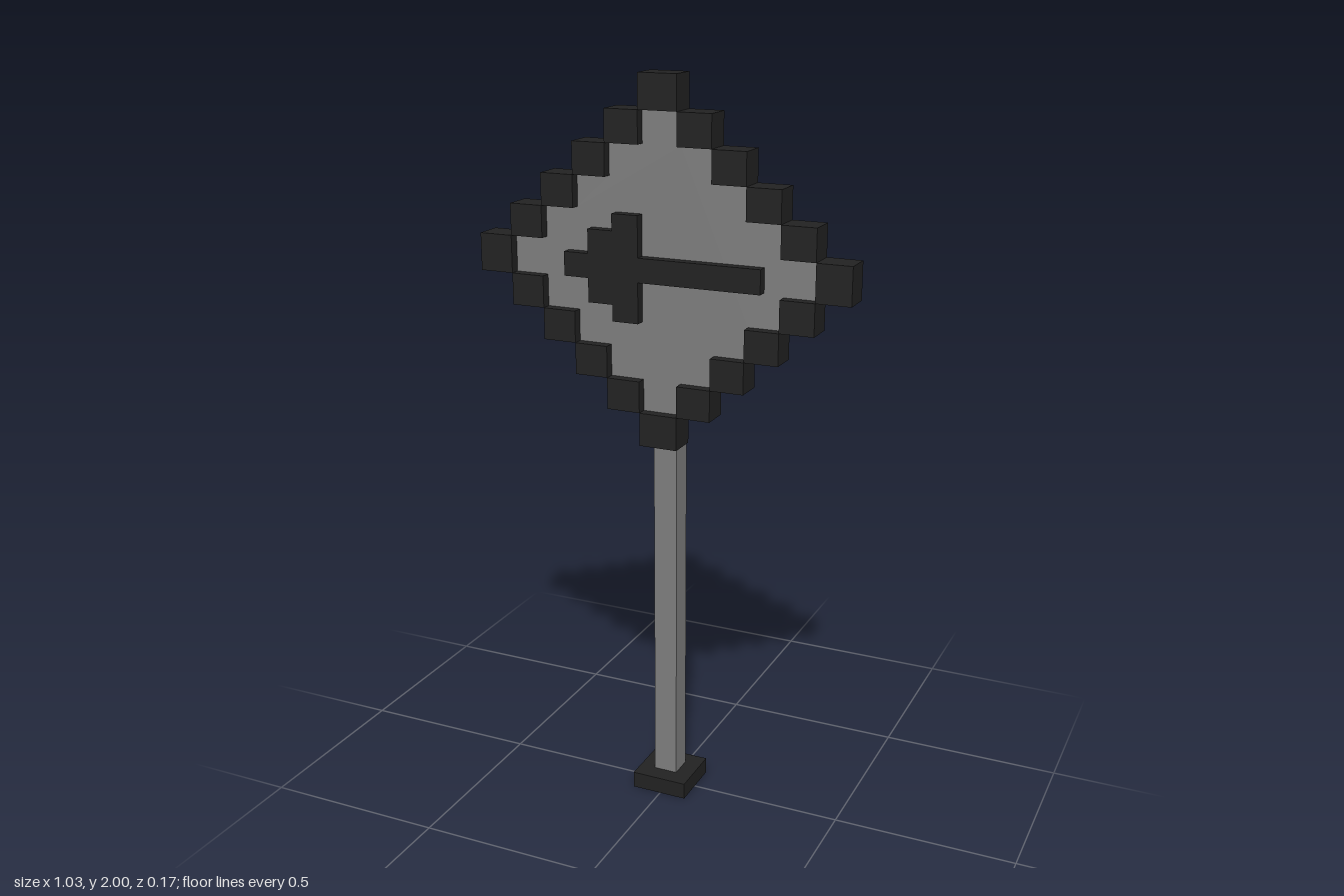
import * as THREE from 'three';

export function createModel() {
  const model = new THREE.Group();
  const grey = new THREE.MeshStandardMaterial({ color: 0x7e7e7e });
  grey.name = 'grey metal';
  const black = new THREE.MeshStandardMaterial({ color: 0x222222 });
  black.name = 'black paint';

  const add = (name, geometry, material, parent = model) => {
    const mesh = new THREE.Mesh(geometry, material);
    mesh.name = name;
    parent.add(mesh);
    return mesh;
  };
  // Box given by its lower and upper corners
  const box = (name, a, b, material, parent) => {
    const size = b.map((v, i) => v - a[i]);
    const mesh = add(name, new THREE.BoxGeometry(...size), material, parent);
    mesh.position.set(...a.map((v, i) => (v + b[i]) / 2));
  };
  const shapeOf = (points) => new THREE.Shape(points.map(([x, y]) => new THREE.Vector2(x, y)));
  const slab = (shape, z0, z1) =>
    new THREE.ExtrudeGeometry(shape, { depth: z1 - z0, bevelEnabled: false }).translate(0, 0, z0);

  // Square foot, hollow around the post
  const foot = shapeOf([[-0.083, -0.074], [0.075, -0.074], [0.075, 0.083], [-0.083, 0.083]]);
  foot.holes.push(shapeOf([[-0.038, -0.025], [-0.038, 0.04], [0.028, 0.04], [0.028, -0.025]]));
  add('foot', slab(foot, 0, 0.046).rotateX(-Math.PI / 2), black);
  box('post', [-0.038, 0.015, -0.04], [0.028, 1.535, 0.025], grey);

  // Step edges of the diamond, measured from its centre
  const X = [0.053, 0.146, 0.238, 0.33, 0.422, 0.515];
  const Y = [0.05, 0.135, 0.22, 0.305, 0.39, 0.48];
  const sign = new THREE.Group();
  sign.name = 'sign';
  sign.position.y = 1.52;
  model.add(sign);

  // Stepped panel outline, one quarter mirrored to four
  const quarter = [];
  for (let i = 0; i < 5; i++) {
    quarter.push([X[4 - i], Y[i]]);
    if (i < 4) quarter.push([X[3 - i], Y[i]]);
  }
  const half = [...quarter, ...quarter.map(([x, y]) => [-x, y]).reverse()];
  const outline = [...half, ...half.map(([x, y]) => [-x, -y])];
  add('panel', slab(shapeOf(outline), 0.027, 0.055), grey, sign);

  // Border of blocks along the four stepped edges
  const border = new THREE.Group();
  border.name = 'border';
  sign.add(border);
  for (let i = 0; i < 6; i++) {
    const j = 5 - i;
    for (const sx of j ? [-1, 1] : [1]) {
      for (const sy of i ? [-1, 1] : [1]) {
        const xs = j ? [sx * X[j - 1], sx * X[j]] : [-X[0], X[0]];
        const ys = i ? [sy * Y[i - 1], sy * Y[i]] : [-Y[0], Y[0]];
        box('borderBlock', [Math.min(...xs), Math.min(...ys), 0.005],
          [Math.max(...xs), Math.max(...ys), 0.083], black, border);
      }
    }
  }

  // Raised arrow: upper outline mirrored below its axis
  const upper = [[0.279, 0.032], [-0.055, 0.032], [-0.055, 0.14], [-0.128, 0.14],
    [-0.128, 0.096], [-0.197, 0.096], [-0.197, 0.032], [-0.266, 0.032]];
  const arrow = shapeOf([...upper, ...upper.map(([x, y]) => [x, -y]).reverse()]);
  add('arrow', slab(arrow, 0.05, 0.083).translate(0, -0.011, 0), black, sign);

  return model;
}
